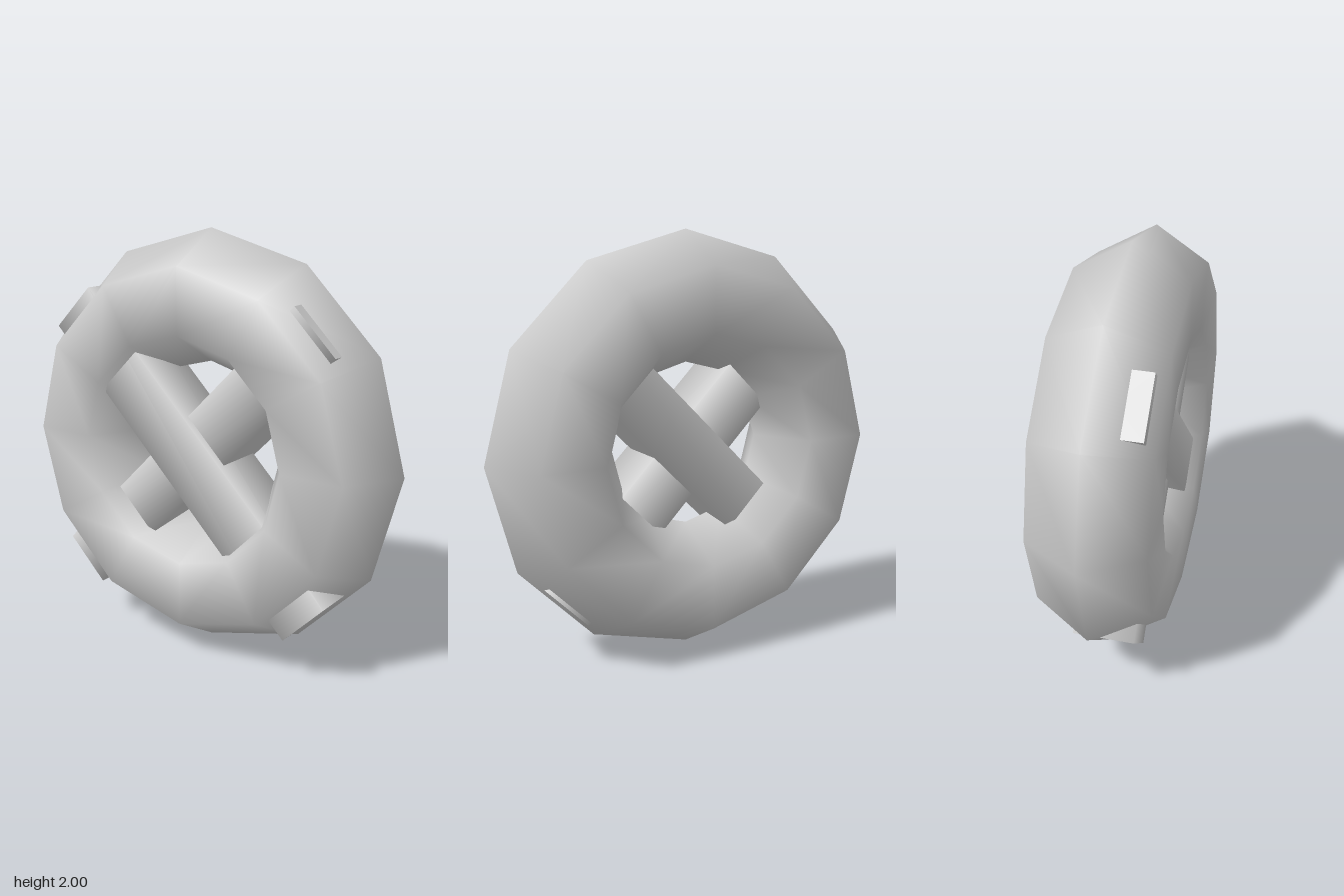
import * as THREE from 'three';

export function createModel() {
  const group = new THREE.Group();
  const grey = new THREE.MeshStandardMaterial({ color: 0xcccccc });
  grey.name = 'light grey';

  // Twelve-sided ring with a six-sided, smoothly shaded tube
  const ring = new THREE.Mesh(new THREE.TorusGeometry(0.695, 0.305, 6, 12), grey);
  ring.name = 'ring';
  ring.position.y = 1;
  group.add(ring);

  // Two crossed square bars whose ends poke out through the ring
  const barGeometry = new THREE.CylinderGeometry(0.2, 0.2, 1.845, 4, 1, false, Math.PI / 4);
  const addBar = (name, angle, z) => {
    const bar = new THREE.Mesh(barGeometry, grey);
    bar.name = name;
    bar.position.set(0, 0.96, z);
    bar.rotation.z = angle;
    group.add(bar);
  };
  addBar('frontCrossBar', Math.PI / 4, 0.0825);
  addBar('rearCrossBar', -Math.PI / 4, 0.0425);

  return group;
}
